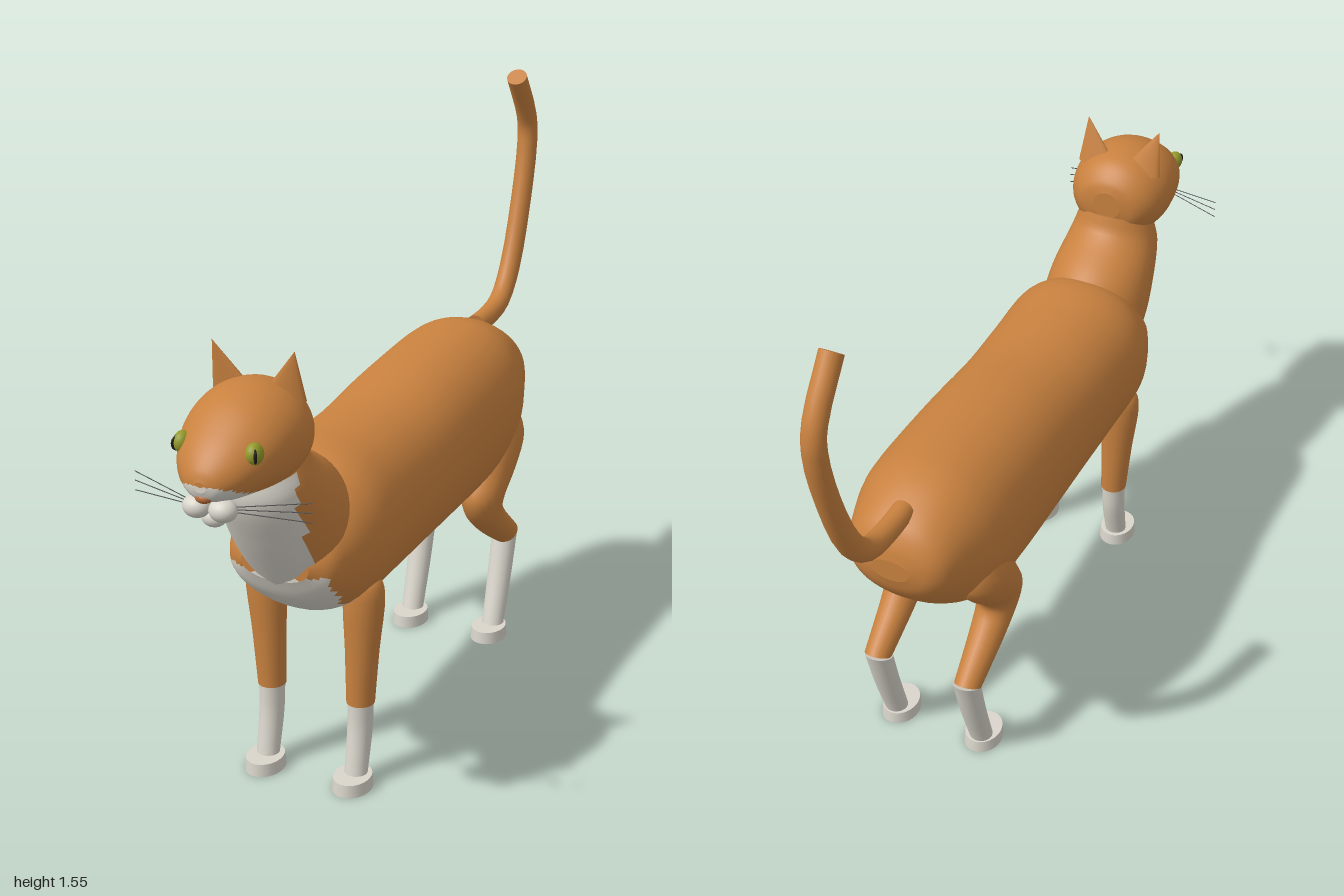
import * as THREE from 'three';

const mat = (name, color, side = THREE.FrontSide) => {
  const m = new THREE.MeshStandardMaterial({ color, side });
  m.name = name;
  return m;
};

// Lofts elliptical rings given as [z, y of one edge, z, y of the opposite edge, half width, centre x].
// Quads for which isSecond(x, y, z) holds go to the second material group.
function loft(rings, { sub = 4, seg = 32, power = 1, isSecond = () => false } = {}) {
  const a = new THREE.CatmullRomCurve3(rings.map(r => new THREE.Vector3(r[4], r[1], r[0])));
  const b = new THREE.CatmullRomCurve3(rings.map(r => new THREE.Vector3(r[5] || 0, r[3], r[2])));
  const n = (rings.length - 1) * sub, pos = [], faces = [[], []];
  const round = v => Math.sign(v) * Math.abs(v) ** power;
  for (let i = 0; i <= n; i++) {
    const p = a.getPoint(i / n), q = b.getPoint(i / n);
    for (let j = 0; j < seg; j++) {
      const t = j / seg * Math.PI * 2, c = round(Math.cos(t)), s = round(Math.sin(t));
      pos.push(q.x + p.x * s, (p.y + q.y) / 2 + (p.y - q.y) / 2 * c, (p.z + q.z) / 2 + (p.z - q.z) / 2 * c);
    }
  }
  const add = (...tri) => {
    const m = k => tri.reduce((sum, v) => sum + pos[v * 3 + k], 0) / tri.length;
    const list = faces[isSecond(m(0), m(1), m(2)) ? 1 : 0];
    list.push(tri[0], tri[1], tri[2]);
    if (tri.length === 4) list.push(tri[0], tri[2], tri[3]);
  };
  for (let i = 0; i < n; i++) for (let j = 0; j < seg; j++) {
    const k = (j + 1) % seg;
    add(i * seg + j, (i + 1) * seg + j, (i + 1) * seg + k, i * seg + k);
  }
  // flat end caps
  for (const end of [0, n]) {
    const start = pos.length / 3, mid = [0, 0, 0];
    for (let j = 0; j < seg; j++) for (let k = 0; k < 3; k++) {
      const v = pos[(end * seg + j) * 3 + k];
      pos.push(v);
      mid[k] += v / seg;
    }
    pos.push(...mid);
    for (let j = 0; j < seg; j++) {
      const u = start + j, v = start + (j + 1) % seg;
      end ? add(start + seg, v, u) : add(start + seg, u, v);
    }
  }
  const g = new THREE.BufferGeometry();
  g.setAttribute('position', new THREE.Float32BufferAttribute(pos, 3));
  g.setIndex([...faces[0], ...faces[1]]);
  g.addGroup(0, faces[0].length, 0);
  g.addGroup(faces[0].length, faces[1].length, 1);
  g.computeVertexNormals();
  return g;
}

export function createModel() {
  const cat = new THREE.Group();
  cat.name = 'cat';
  const orange = mat('orange fur', 0xc8813f), white = mat('white fur', 0xd9d5cb);
  const green = mat('eye green', 0x93992a), black = mat('pupil black', 0x1c1a16);
  const brown = mat('nose brown', 0xb56a38), grey = mat('whisker grey', 0x555555);
  const add = (name, geo, material) => {
    const m = new THREE.Mesh(geo, material);
    m.name = name;
    cat.add(m);
    return m;
  };
  const ball = (name, material, x, y, z, rx, ry, rz) => {
    const m = add(name, new THREE.SphereGeometry(1, 24, 16), material);
    m.position.set(x, y, z);
    m.scale.set(rx, ry, rz);
    return m;
  };
  const fur = [orange, white];

  // torso with white belly
  add('body', loft([
    [-.672, .78, -.672, .72, .05], [-.66, .82, -.66, .68, .10], [-.63, .865, -.63, .635, .135],
    [-.55, .912, -.55, .555, .168], [-.48, .932, -.48, .505, .19], [-.42, .935, -.42, .48, .2],
    [-.3, .93, -.3, .47, .204], [-.1, .915, -.1, .468, .204], [.1, .892, .1, .468, .202],
    [.3, .89, .3, .468, .204], [.45, .89, .45, .47, .204], [.52, .86, .52, .485, .185],
    [.58, .80, .58, .52, .16], [.63, .74, .63, .565, .135], [.66, .70, .66, .62, .09],
  ], {
    seg: 48, power: .92,
    isSecond: (x, y, z) => z > -.1 && (y < .525 || (z > .55 && y < .64 && Math.abs(x) < .13)),
  }), fur);

  // neck with white bib
  add('neck', loft([
    [.80, .94, .62, 1.01, .105], [.805, .87, .60, .965, .122], [.75, .755, .49, .895, .142],
    [.69, .66, .43, .83, .145], [.62, .56, .38, .74, .125],
  ], { seg: 40, isSecond: (x, y, z) => Math.abs(x) < .108 && z > .6 && y < .95 - (.8 - z) * .2 }), fur);

  // head with white muzzle
  add('head', loft([
    [.628, 1.08, .628, 1.0, .04], [.64, 1.11, .64, .965, .085], [.68, 1.148, .68, .925, .122],
    [.74, 1.163, .74, .912, .14], [.80, 1.16, .80, .915, .138], [.86, 1.14, .86, .925, .126],
    [.92, 1.10, .92, .935, .102], [.96, 1.066, .96, .945, .076], [.99, 1.03, .99, .96, .042],
    [1.0, 1.005, 1.0, .98, .015],
  ], {
    seg: 48,
    isSecond: (x, y, z) => z > .84 && Math.abs(x) < .075 && y < .935 + (z - .84) * .38,
  }), fur);
  ball('nose', brown, 0, .963, .983, .021, .013, .016);
  ball('chin', white, 0, .9, .94, .03, .023, .025);

  // tail, curling forward at the tip
  add('tail', loft([
    [-.60, .85, -.59, .908], [-.68, .851, -.67, .909], [-.785, .873, -.76, .928],
    [-.875, .96, -.825, 1.0], [-.957, 1.15, -.902, 1.175], [-1.0, 1.33, -.943, 1.335],
    [-.985, 1.425, -.938, 1.388], [-.897, 1.553, -.853, 1.518],
  ].map(r => [...r, .029]), { seg: 20, sub: 3 }), orange);

  for (const s of [1, -1]) {
    const side = s > 0 ? 'left' : 'right';
    const at = (rings, x) => loft(rings.map(r => [...r.slice(0, 5), s * (r[5] || x)]), { seg: 24 });

    // front leg
    add(side + 'FrontUpperLeg', at([
      [.47, .577, .43, .577, .02, .14], [.49, .557, .41, .557, .043, .138],
      [.497, .52, .403, .52, .053, .136], [.492, .37, .408, .37, .044, .13], [.488, .22, .412, .22, .036, .125],
    ]), orange);
    add(side + 'FrontLowerLeg', at([
      [.486, .222, .415, .222, .033], [.489, .15, .422, .14, .032], [.51, .03, .452, .03, .03],
    ], .125), white);

    // hind leg
    add(side + 'Thigh', at([
      [-.37, .74, -.50, .74, .035], [-.345, .64, -.54, .62, .072], [-.30, .55, -.485, .54, .07],
      [-.266, .48, -.42, .475, .06], [-.285, .42, -.412, .445, .052], [-.36, .352, -.445, .405, .046],
      [-.43, .305, -.505, .355, .04], [-.49, .268, -.56, .31, .035],
    ], .13), orange);
    add(side + 'HindLowerLeg', at([
      [-.487, .275, -.565, .305, .036], [-.455, .16, -.525, .17, .034], [-.413, .03, -.475, .03, .031],
    ], .127), white);

    // flat paws
    for (const [name, z] of [['FrontPaw', .498], ['HindPaw', -.422]]) {
      const paw = add(side + name, new THREE.CylinderGeometry(.95, 1, .034, 28), white);
      paw.position.set(s * .124, .017, z);
      paw.scale.set(.05, 1, .063);
    }

    // ear: flattened cone leaning outward and forward
    const ear = new THREE.ConeGeometry(1, 1, 24, 4).translate(0, .5, 0);
    ear.applyMatrix4(new THREE.Matrix4().set(
      .057, s * .042, 0, s * .063,
      0, .125, 0, 1.115,
      0, .026, .017, .714,
      0, 0, 0, 1));
    add(side + 'Ear', ear, orange);

    // eye, cheek and whiskers
    ball(side + 'Eye', green, s * .09, 1.055, .912, .021, .026, .025);
    ball(side + 'Pupil', black, s * .097, 1.055, .921, .005, .019, .018).rotation.y = s * .5;
    ball(side + 'WhiskerPad', white, s * .033, .928, .957, .034, .027, .03);
    for (const y of [.957, .934, .91]) {
      const line = new THREE.LineCurve3(
        new THREE.Vector3(s * .045, .932 + (y - .934) * .2, .955), new THREE.Vector3(s * .225, y, .9));
      add(side + 'Whisker', new THREE.TubeGeometry(line, 1, .0012, 5), grey);
    }
  }
  return cat;
}
